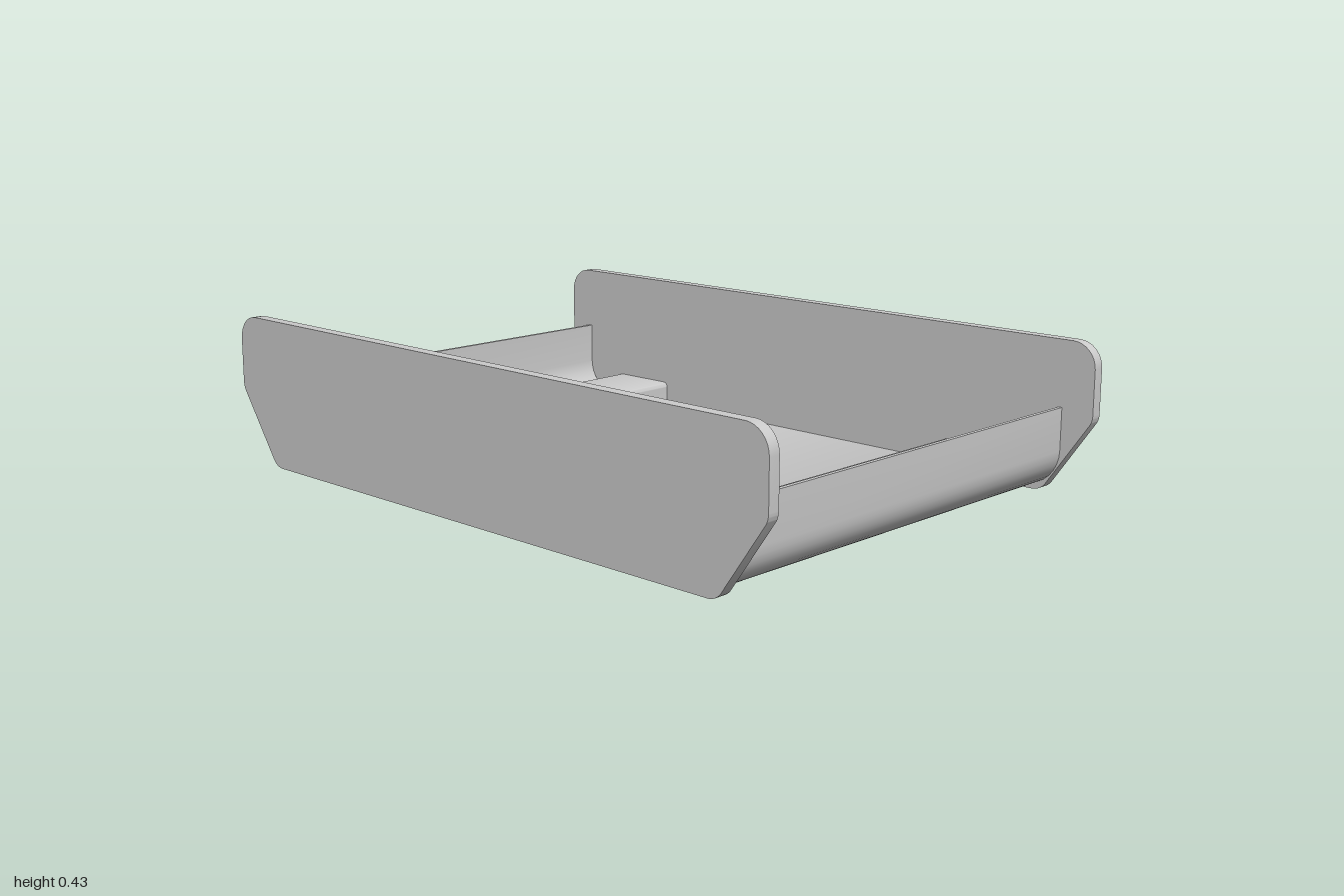
import * as THREE from 'three';
import { toCreasedNormals } from 'three/addons/utils/BufferGeometryUtils.js';

const material = new THREE.MeshStandardMaterial({ color: 0xcccccc });

// Rounds the corners of a list of [z, y, radius] points with true arcs.
function roundCorners(points, closed, steps = 8) {
  const out = [], n = points.length;
  points.forEach(([x, y, r], i) => {
    const p = new THREE.Vector2(x, y);
    if (!r || (!closed && (i === 0 || i === n - 1))) { out.push(p); return; }
    const toward = (q) => new THREE.Vector2(q[0], q[1]).sub(p).normalize();
    const a = toward(points[(i + n - 1) % n]), b = toward(points[(i + 1) % n]);
    const half = Math.acos(a.dot(b)) / 2;
    const centre = a.clone().add(b).normalize().multiplyScalar(r / Math.sin(half)).add(p);
    const start = p.clone().addScaledVector(a, r / Math.tan(half)).sub(centre);
    const end = p.clone().addScaledVector(b, r / Math.tan(half)).sub(centre);
    const sweep = Math.atan2(start.cross(end), start.dot(end));
    for (let k = 0; k <= steps; k++) {
      out.push(start.clone().rotateAround(new THREE.Vector2(), sweep * k / steps).add(centre));
    }
  });
  return out;
}

// Gives an open centre line a thickness and returns the closed outline.
function thicken(line, t) {
  const above = [], below = [];
  line.forEach((p, i) => {
    const d = line[Math.min(i + 1, line.length - 1)].clone().sub(line[Math.max(i - 1, 0)]).normalize();
    const normal = new THREE.Vector2(-d.y, d.x).multiplyScalar(t / 2);
    above.push(p.clone().add(normal));
    below.push(p.clone().sub(normal));
  });
  return below.concat(above.reverse());
}

// Extrudes a (z, y) outline along x, centred on x = 0.
function extrudeAcross(outline, width, name) {
  const geometry = new THREE.ExtrudeGeometry(new THREE.Shape(outline), {
    depth: width, bevelEnabled: false,
  });
  geometry.translate(0, 0, -width / 2).rotateY(-Math.PI / 2);
  const mesh = new THREE.Mesh(toCreasedNormals(geometry, 0.55), material);
  mesh.name = name;
  return mesh;
}

export function createModel() {
  const group = new THREE.Group();
  group.name = 'tray';

  // Side plates with rounded tops and slanted lower corners
  const half = [[0.85, 0, 0.05], [1, 0.215, 0.05], [1, 0.425, 0.07]];
  const plateOutline = roundCorners(
    [...half, ...half.map(([z, y, r]) => [-z, y, r]).reverse()], true);
  for (const side of [1, -1]) {
    const plate = extrudeAcross(plateOutline, 0.034, side > 0 ? 'leftPlate' : 'rightPlate');
    plate.position.x = side * 0.655;
    group.add(plate);
  }

  // Bent sheet: back lip, raised rib, floor, raised rib, front lip
  const floorY = 0.02, ribY = 0.088, bend = 0.01;
  const rib = (back, front) => [
    [back, floorY, bend], [back, ribY, bend], [front, ribY, bend], [front, floorY, bend],
  ];
  const centreLine = roundCorners([
    [-0.919, 0.24], [-0.919, floorY, 0.1],
    ...rib(-0.775, -0.567),
    ...rib(0.532, 0.735),
    [0.9, floorY, 0.1], [0.9, 0.24],
  ], false);
  group.add(extrudeAcross(thicken(centreLine, 0.011), 1.276, 'bentSheet'));

  return group;
}
